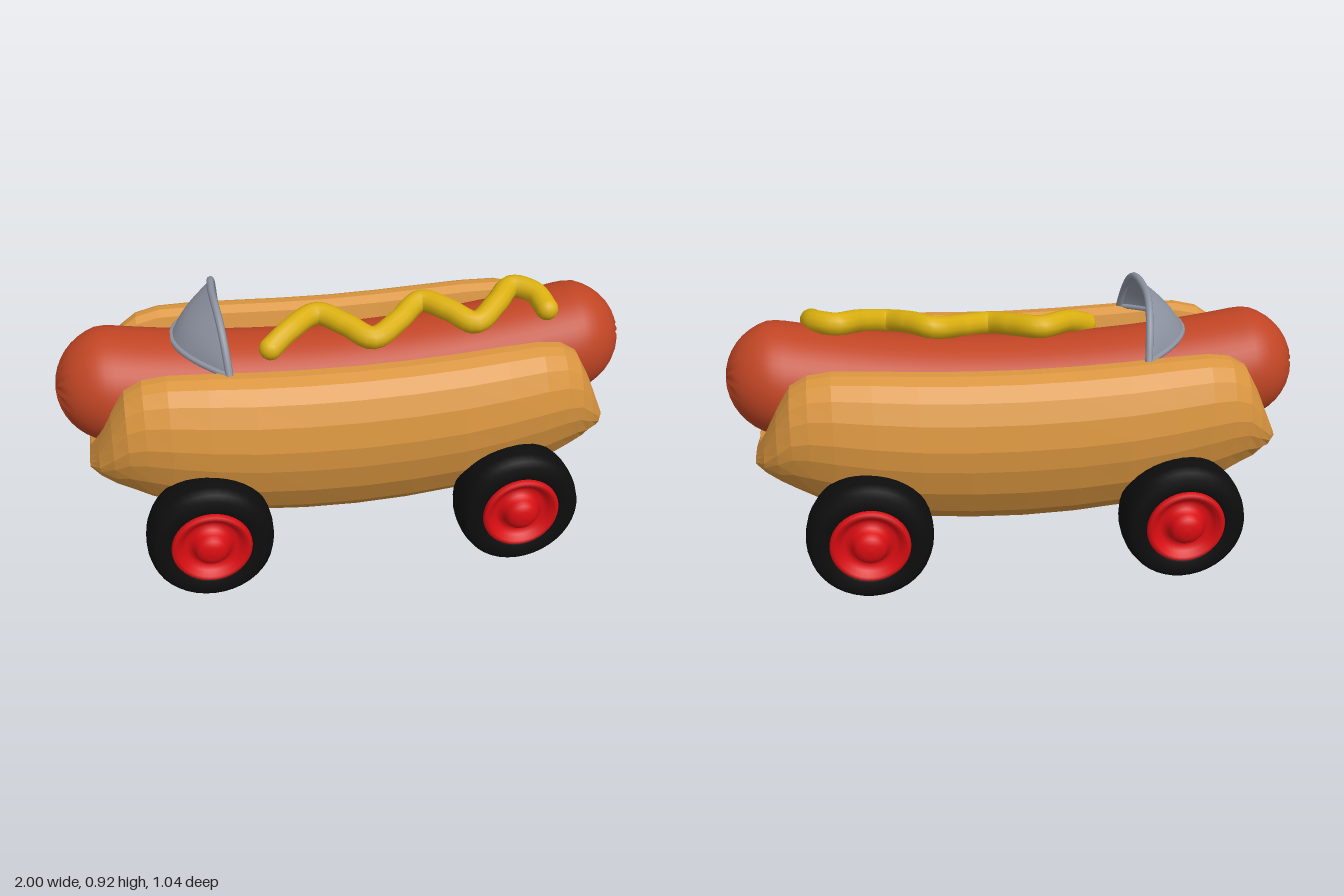
import * as THREE from 'three';

const mat = (name, color, extra = {}) => new THREE.MeshStandardMaterial({ name, color, ...extra });

// Closed skin over rings that run from -x to +x, with fan caps at both ends
function loft(rings) {
  const n = rings[0].length, pos = [], idx = [];
  rings.forEach(r => r.forEach(p => pos.push(...p)));
  for (let i = 0; i < rings.length - 1; i++) {
    for (let j = 0; j < n; j++) {
      const k = (j + 1) % n, a = i * n + j, b = a + n, c = i * n + k, d = c + n;
      idx.push(a, b, c, b, d, c);
    }
  }
  [0, rings.length - 1].forEach((i, end) => {
    const ring = rings[i], centre = pos.length / 3;
    pos.push(...[0, 1, 2].map(c => ring.reduce((s, p) => s + p[c], 0) / n));
    for (let j = 0; j < n; j++) {
      const a = i * n + j, b = i * n + (j + 1) % n;
      idx.push(centre, ...(end ? [b, a] : [a, b]));
    }
  });
  const g = new THREE.BufferGeometry();
  g.setAttribute('position', new THREE.Float32BufferAttribute(pos, 3));
  g.setIndex(idx);
  g.computeVertexNormals();
  return g;
}

// Bun: one half cross-section, stretched to width, bottom and top along x
function bunGeometry() {
  const half = [[0, 0.1], [0.1, 0.107], [0.18, 0.13], [0.25, 0.165], [0.32, 0.23], [0.375, 0.33], [0.403, 0.43],
    [0.41, 0.51], [0.395, 0.6], [0.365, 0.67], [0.325, 0.715], [0.285, 0.733], [0.25, 0.735], [0.22, 0.715],
    [0.2, 0.62], [0.12, 0.45], [0, 0.4]];
  const section = [...half, ...half.slice(1, -1).reverse().map(([z, y]) => [-z, y])];
  // x, half width, bottom, top
  const stations = [[0, 0.412, 0.1, 0.725], [0.18, 0.412, 0.106, 0.728], [0.35, 0.41, 0.122, 0.735],
    [0.5, 0.402, 0.15, 0.743], [0.63, 0.388, 0.187, 0.745], [0.71, 0.37, 0.22, 0.73], [0.77, 0.35, 0.255, 0.69],
    [0.82, 0.32, 0.29, 0.6], [0.87, 0.27, 0.335, 0.49], [0.905, 0.2, 0.372, 0.42]];
  const all = [...stations.slice(1).reverse().map(([x, ...r]) => [-x, ...r]), ...stations];
  return loft(all.map(([x, w, bot, top]) =>
    section.map(([z, y]) => [x, bot + (y - 0.1) / 0.635 * (top - bot), z * w / 0.41])));
}

const sausageY = x => 0.53 + 0.085 * Math.min(1, (x / 0.85) ** 2) + 0.015 * x;

// Sausage: gently curved, rounded ends with a puckered star
function sausageGeometry() {
  const rings = [], N = 48, M = 40;
  for (let i = 0; i <= M; i++) {
    const s = i / M * 2 - 1, e = Math.max(0, (Math.abs(s) - 0.5) / 0.5);
    const a = e * Math.PI / 2 * 0.97;
    const x = Math.sign(s) * (e > 0 ? 0.79 + 0.21 * Math.sin(a) : Math.abs(s) / 0.5 * 0.79);
    const r = 0.205 * (e > 0 ? Math.cos(a) : 1), ring = [];
    const pleat = e > 0.62 && e < 0.99 ? 0.008 : 0;
    for (let j = 0; j < N; j++) {
      const t = j / N * Math.PI * 2, dent = j % 3 === 0 ? pleat : 0;
      ring.push([x - Math.sign(s) * dent, sausageY(x) + r * Math.sin(t), r * Math.cos(t)]);
    }
    rings.push(ring);
  }
  return loft(rings);
}

// Windscreen: bowed base edge, nearly straight raked top edge
const screenBase = u => new THREE.Vector3(-0.425 - 0.17 * (1 - u * u), 0.735 + 0.025 * (1 - u * u), 0.26 * u);
const screenTop = u => new THREE.Vector3(-0.425 - 0.025 * (1 - u * u), 0.735 + 0.178 * (1 - Math.abs(u) ** 3.6), 0.26 * u);
function screenGeometry() {
  const g = new THREE.PlaneGeometry(2, 1, 28, 6), p = g.attributes.position;
  for (let i = 0; i < p.count; i++) {
    const u = p.getX(i), v = p.getY(i) + 0.5;
    const q = screenBase(u).lerp(screenTop(u), v);
    q.x -= 0.02 * Math.sin(v * Math.PI) * (1 - u * u);
    p.setXYZ(i, q.x, q.y, q.z);
  }
  g.computeVertexNormals();
  return g;
}
function edgeTube(edge, radius) {
  const pts = [];
  for (let i = 0; i <= 20; i++) pts.push(edge(i / 10 - 1));
  return new THREE.TubeGeometry(new THREE.CatmullRomCurve3(pts), 48, radius, 8);
}

// Turned part with its axis along z; profile runs from -z to +z
const turned = profile =>
  new THREE.LatheGeometry(profile.map(([r, y]) => new THREE.Vector2(r, y)), 40).rotateX(Math.PI / 2);

export function createModel() {
  const model = new THREE.Group();
  model.name = 'hotDogCar';
  const bread = mat('bread', 0xd9953f, { flatShading: true });
  const meat = mat('meat', 0xc04524);
  const yellow = mat('mustard yellow', 0xdbb00f);
  const grey = mat('windscreen grey', 0x8e94a2, { side: THREE.DoubleSide });
  const rubber = mat('tyre black', 0x0d0d0d);
  const red = mat('wheel red', 0xd90d12);
  const add = (parent, name, geometry, material) => {
    const m = new THREE.Mesh(geometry, material);
    m.name = name;
    parent.add(m);
    return m;
  };

  add(model, 'bun', bunGeometry(), bread);
  add(model, 'sausage', sausageGeometry(), meat);

  // Mustard squiggle with rounded ends
  const mustard = new THREE.Group();
  mustard.name = 'mustard';
  model.add(mustard);
  const path = [[-0.27, 0.735, 0.1], [-0.2, 0.77, 0.05], [-0.09, 0.785, -0.03], [0, 0.77, 0.04], [0.08, 0.75, 0.115],
    [0.18, 0.77, 0.05], [0.28, 0.8, -0.03], [0.36, 0.795, 0.04], [0.44, 0.775, 0.115], [0.53, 0.805, 0.05],
    [0.61, 0.828, -0.03], [0.68, 0.82, 0.02], [0.7, 0.795, 0.1]].map(p => new THREE.Vector3(...p));
  add(mustard, 'mustardLine', new THREE.TubeGeometry(new THREE.CatmullRomCurve3(path), 90, 0.04, 12), yellow);
  [path[0], path[path.length - 1]].forEach(p =>
    add(mustard, 'mustardEnd', new THREE.SphereGeometry(0.04, 14, 10), yellow).position.copy(p));

  // Windscreen and its rim
  const windscreen = new THREE.Group();
  windscreen.name = 'windscreen';
  model.add(windscreen);
  add(windscreen, 'pane', screenGeometry(), grey);
  add(windscreen, 'topRim', edgeTube(screenTop, 0.013), grey);
  add(windscreen, 'baseRim', edgeTube(screenBase, 0.01), grey);

  // Wheels and axles
  const tyre = turned([[0.13, -0.07], [0.14, -0.082], [0.185, -0.082], [0.203, -0.068], [0.211, -0.035], [0.213, 0],
    [0.211, 0.035], [0.203, 0.068], [0.185, 0.082], [0.14, 0.082], [0.13, 0.07]]);
  const hub = turned([[0, -0.07], [0.08, -0.07], [0.11, -0.093], [0.128, -0.093], [0.134, -0.08], [0.134, 0.08],
    [0.128, 0.09], [0.115, 0.09], [0.1, 0.072], [0.085, 0.06], [0.062, 0.065], [0.058, 0.09], [0.045, 0.106],
    [0.025, 0.114], [0, 0.116]]);
  const axle = turned([[0.065, -0.35], [0.05, -0.24], [0.045, 0], [0.05, 0.24], [0.065, 0.35]]);
  for (const x of [-0.53, 0.53]) {
    add(model, 'axle', axle, red).position.set(x, 0.21, 0);
    for (const side of [-1, 1]) {
      const wheel = new THREE.Group();
      wheel.name = 'wheel';
      add(wheel, 'tyre', tyre, rubber);
      add(wheel, 'hub', hub, red);
      wheel.position.set(x, 0.22, side * 0.405);
      if (side < 0) wheel.rotation.y = Math.PI;
      model.add(wheel);
    }
  }
  return model;
}
